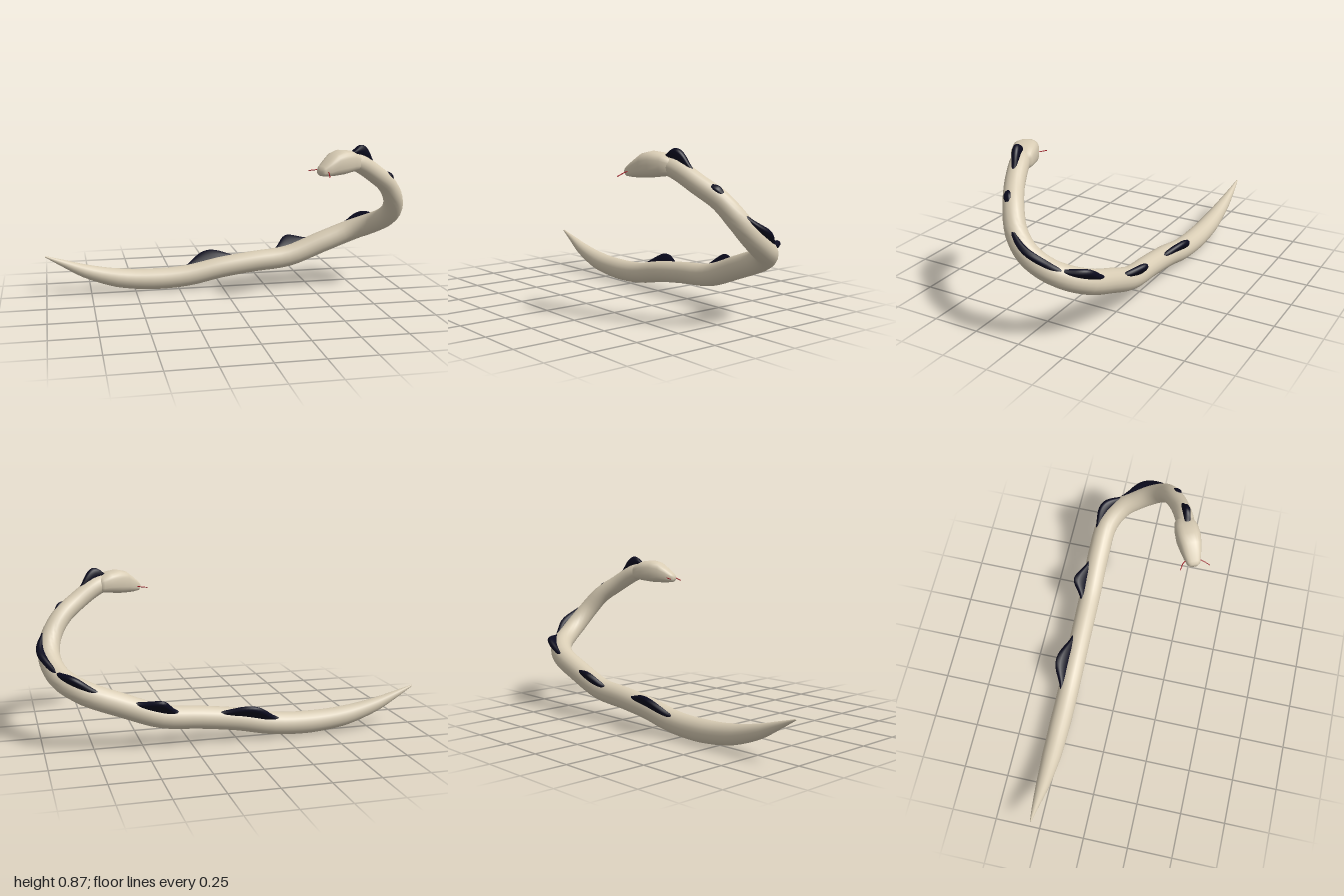
import * as THREE from 'three';

const V = (x, y, z) => new THREE.Vector3(x, y, z);

// Skin a list of rings {c, t, up, w, h, p}: centre, forward, up, half width, half height, squareness
function loft(rings, sides) {
  const pos = [], idx = [];
  for (const { c, t, up, w, h, p = 1 } of rings) {
    const u = up.clone().addScaledVector(t, -up.dot(t)).normalize();
    const a = u.clone().cross(t);
    for (let j = 0; j < sides; j++) {
      const ang = (j / sides) * Math.PI * 2, co = Math.cos(ang), si = Math.sin(ang);
      const q = c.clone()
        .addScaledVector(a, Math.sign(co) * Math.abs(co) ** p * w)
        .addScaledVector(u, Math.sign(si) * Math.abs(si) ** p * h);
      pos.push(q.x, q.y, q.z);
    }
  }
  const last = (rings.length - 1) * sides;
  for (let i = 0; i < last; i += sides)
    for (let j = 0; j < sides; j++) {
      const k = (j + 1) % sides;
      idx.push(i + j, i + k, i + sides + j, i + k, i + sides + k, i + sides + j);
    }
  const n = pos.length / 3;
  for (const r of [rings[0], rings[rings.length - 1]]) pos.push(r.c.x, r.c.y, r.c.z);
  for (let j = 0; j < sides; j++) {
    const k = (j + 1) % sides;
    idx.push(n, k, j, n + 1, last + j, last + k);
  }
  const g = new THREE.BufferGeometry();
  g.setAttribute('position', new THREE.Float32BufferAttribute(pos, 3));
  g.setIndex(idx);
  g.computeVertexNormals();
  return g;
}

// Spine from tail tip to neck: x, y, z, radius
const SPINE = [
  [-1, 0.222, -0.28, 0.004], [-0.9, 0.178, -0.28, 0.02], [-0.78, 0.128, -0.277, 0.038],
  [-0.6, 0.08, -0.275, 0.054], [-0.4, 0.062, -0.275, 0.06], [-0.2, 0.071, -0.275, 0.06],
  [0, 0.11, -0.275, 0.06], [0.2, 0.136, -0.276, 0.06], [0.4, 0.157, -0.278, 0.061],
  [0.6, 0.23, -0.278, 0.062], [0.78, 0.3, -0.262, 0.062], [0.88, 0.352, -0.195, 0.06],
  [0.925, 0.4, -0.11, 0.058], [0.94, 0.46, -0.03, 0.057], [0.92, 0.54, 0.04, 0.054],
  [0.86, 0.63, 0.095, 0.051], [0.77, 0.7, 0.15, 0.05], [0.66, 0.77, 0.195, 0.05],
  [0.59, 0.79, 0.22, 0.045],
];
const END = SPINE.length - 1;
const curve = new THREE.CatmullRomCurve3(SPINE.map(([x, y, z]) => V(x, y, z)));

// Centre, direction and radius at a fractional spine index
function spineAt(k) {
  const i = Math.min(Math.floor(k), END - 1);
  return {
    c: curve.getPoint(k / END),
    t: curve.getTangent(k / END),
    r: THREE.MathUtils.lerp(SPINE[i][3], SPINE[i + 1][3], k - i),
  };
}

export function createModel() {
  const cream = new THREE.MeshStandardMaterial({ color: 0xd8ccb4 });
  cream.name = 'cream skin';
  const navy = new THREE.MeshStandardMaterial({ color: 0x0a0a1e });
  navy.name = 'dark navy';
  const red = new THREE.MeshStandardMaterial({ color: 0xa01520 });
  red.name = 'tongue red';

  const group = new THREE.Group();
  const add = (name, geometry, material) => {
    const m = new THREE.Mesh(geometry, material);
    m.name = name;
    group.add(m);
  };

  // Tapering body
  const bodyRings = [];
  for (let i = 0; i <= END * 4; i++) {
    const { c, t, r } = spineAt(i / 4);
    bodyRings.push({ c, t, up: V(0, 1, 0), w: r, h: r });
  }
  add('body', loft(bodyRings, 20), cream);

  // Wedge head: distance along head, bottom, top, half width
  const forward = V(-0.91, 0, 0.41).normalize();
  const headRings = [
    [-0.005, 0.745, 0.805, 0.035], [0.015, 0.735, 0.822, 0.052], [0.06, 0.73, 0.843, 0.063],
    [0.12, 0.722, 0.85, 0.066], [0.17, 0.72, 0.838, 0.058], [0.215, 0.72, 0.804, 0.047],
    [0.25, 0.724, 0.775, 0.035], [0.262, 0.733, 0.762, 0.022],
  ].map(([s, lo, hi, w]) => ({
    c: V(0.65, (lo + hi) / 2, 0.19).addScaledVector(forward, s),
    t: forward, up: V(0, 1, 0), w, h: (hi - lo) / 2, p: 0.72,
  }));
  add('head', loft(headRings, 24), cream);

  // Humped fins: spine range, height above skin, direction at start and end
  const back = V(0, 0.7, -0.7);
  const fins = [
    [4.9, 6.55, 0.072, back, back],
    [7.6, 8.8, 0.075, back, back],
    [9.7, 11.3, 0.045, V(0.05, 0.7, -0.75), V(0.3, 0.65, -0.7)],
    [11.2, 14.1, 0.03, V(0.4, 0.65, -0.6), V(0.85, 0.5, -0.15)],
    [15.05, 15.6, 0.008, V(0.7, 0.65, 0.15), V(0.7, 0.65, 0.2)],
    [16.4, 18, 0.048, V(0.1, 1, 0.1), V(0, 1, 0.1)],
  ];
  fins.forEach(([k0, k1, height, d0, d1], n) => {
    const rings = [];
    for (let i = 0; i <= 20; i++) {
      const s = i / 20, bump = Math.sin(Math.PI * s);
      const { c, t, r } = spineAt(k0 + (k1 - k0) * s);
      const up = d0.clone().lerp(d1, s);
      up.addScaledVector(t, -up.dot(t)).normalize();
      const lo = r * 0.75, hi = r * 0.97 + (height + r * 0.03) * bump ** 1.7;
      rings.push({
        c: c.addScaledVector(up, (lo + hi) / 2), t, up,
        w: 0.004 + 0.015 * Math.sqrt(Math.max(bump, 0)), h: (hi - lo) / 2, p: 0.8,
      });
    }
    add('fin' + (n + 1), loft(rings, 12), navy);
  });

  // Forked tongue
  const prongs = [
    [V(0.45, 0.748, 0.275), V(0.415, 0.75, 0.24), V(0.37, 0.745, 0.231)],
    [V(0.45, 0.745, 0.285), V(0.45, 0.748, 0.325), V(0.442, 0.727, 0.377)],
  ];
  prongs.forEach((pts, n) =>
    add('tongueProng' + (n + 1),
      new THREE.TubeGeometry(new THREE.CatmullRomCurve3(pts), 10, 0.0025, 6), red));

  return group;
}
